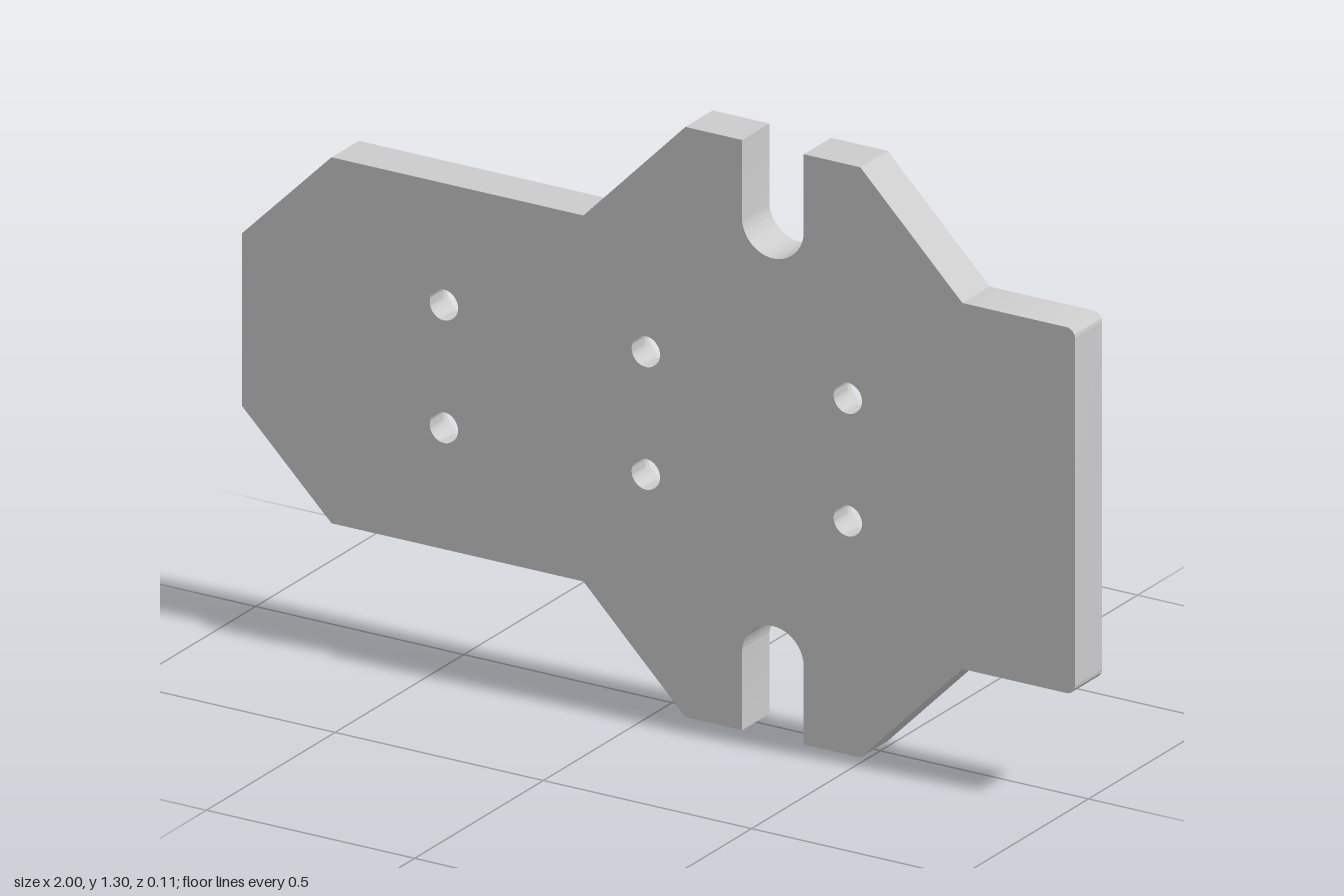
import * as THREE from 'three';
import { toCreasedNormals } from 'three/addons/utils/BufferGeometryUtils.js';

const HEIGHT = 1.3, HALF = 0.053;          // plate height, half thickness
const HOLE_R = 0.034, BORE_R = 0.062;      // through hole, counterbore
const LEDGE_Z = 0;                         // counterbore floor
const SEGMENTS = 32;
const holeCentres = [-0.515, -0.03, 0.455].flatMap(x => [[x, 0.515], [x, 0.785]]);

// Plate outline, counter-clockwise from the lower left
function outline() {
  const s = new THREE.Shape();
  const lines = pts => pts.forEach(([x, y]) => s.lineTo(x, y));
  const slotX = 0.275, slotR = 0.074, slotY = 0.171, r = 0.02;
  s.moveTo(-1, 0.46);
  lines([[-0.785, 0.247], [-0.18, 0.247], [0.065, 0], [slotX - slotR, 0], [slotX - slotR, slotY]]);
  s.absarc(slotX, slotY, slotR, Math.PI, 0, true);
  lines([[slotX + slotR, 0], [0.485, 0], [0.73, 0.247], [1 - r, 0.247]]);
  s.absarc(1 - r, 0.247 + r, r, -Math.PI / 2, 0, false);
  s.lineTo(1, HEIGHT - 0.247 - r);
  s.absarc(1 - r, HEIGHT - 0.247 - r, r, 0, Math.PI / 2, false);
  lines([[0.73, HEIGHT - 0.247], [0.485, HEIGHT], [slotX + slotR, HEIGHT], [slotX + slotR, HEIGHT - slotY]]);
  s.absarc(slotX, HEIGHT - slotY, slotR, 0, -Math.PI, true);
  lines([[slotX - slotR, HEIGHT], [0.065, HEIGHT], [-0.18, HEIGHT - 0.247],
    [-0.785, HEIGHT - 0.247], [-1, HEIGHT - 0.46]]);
  s.closePath();
  return s;
}

// Flat face of the plate with round holes of the given radius
function face(radius) {
  const s = outline();
  for (const [x, y] of holeCentres) {
    s.holes.push(new THREE.Path().absarc(x, y, radius, 0, Math.PI * 2, true));
  }
  return new THREE.ShapeGeometry(s, SEGMENTS);
}

// Side walls only: the extrusion without its caps
function walls() {
  const full = new THREE.ExtrudeGeometry(outline(), { depth: 2 * HALF, bevelEnabled: false, curveSegments: SEGMENTS });
  const { start, count } = full.groups[1];
  const g = new THREE.BufferGeometry();
  const pos = full.attributes.position.array.slice(start * 3, (start + count) * 3);
  g.setAttribute('position', new THREE.BufferAttribute(pos, 3));
  return toCreasedNormals(g.translate(0, 0, -HALF), 0.5);
}

export function createModel() {
  const group = new THREE.Group();
  group.name = 'mountingPlate';
  const material = new THREE.MeshStandardMaterial({ color: 0xcccccc });
  const add = (name, geometry) => {
    const mesh = new THREE.Mesh(geometry, material);
    mesh.name = name;
    group.add(mesh);
    return mesh;
  };

  add('plateEdge', walls());
  add('frontFace', face(HOLE_R).translate(0, 0, HALF));

  // Back face has the wider counterbore openings and is turned to face -z
  const back = face(BORE_R).translate(0, 0, -HALF);
  back.index.array.reverse();
  back.computeVertexNormals();
  add('backFace', back);

  // Stepped bores: narrow at the front, wide at the back
  const profile = [[HOLE_R, HALF], [HOLE_R, LEDGE_Z], [BORE_R, LEDGE_Z], [BORE_R, -HALF]]
    .map(([r, z]) => new THREE.Vector2(r, z));
  const bore = toCreasedNormals(new THREE.LatheGeometry(profile, SEGMENTS).rotateX(Math.PI / 2), 0.5);
  holeCentres.forEach(([x, y], i) => add('counterboredHole' + (i + 1), bore).position.set(x, y, 0));

  return group;
}
